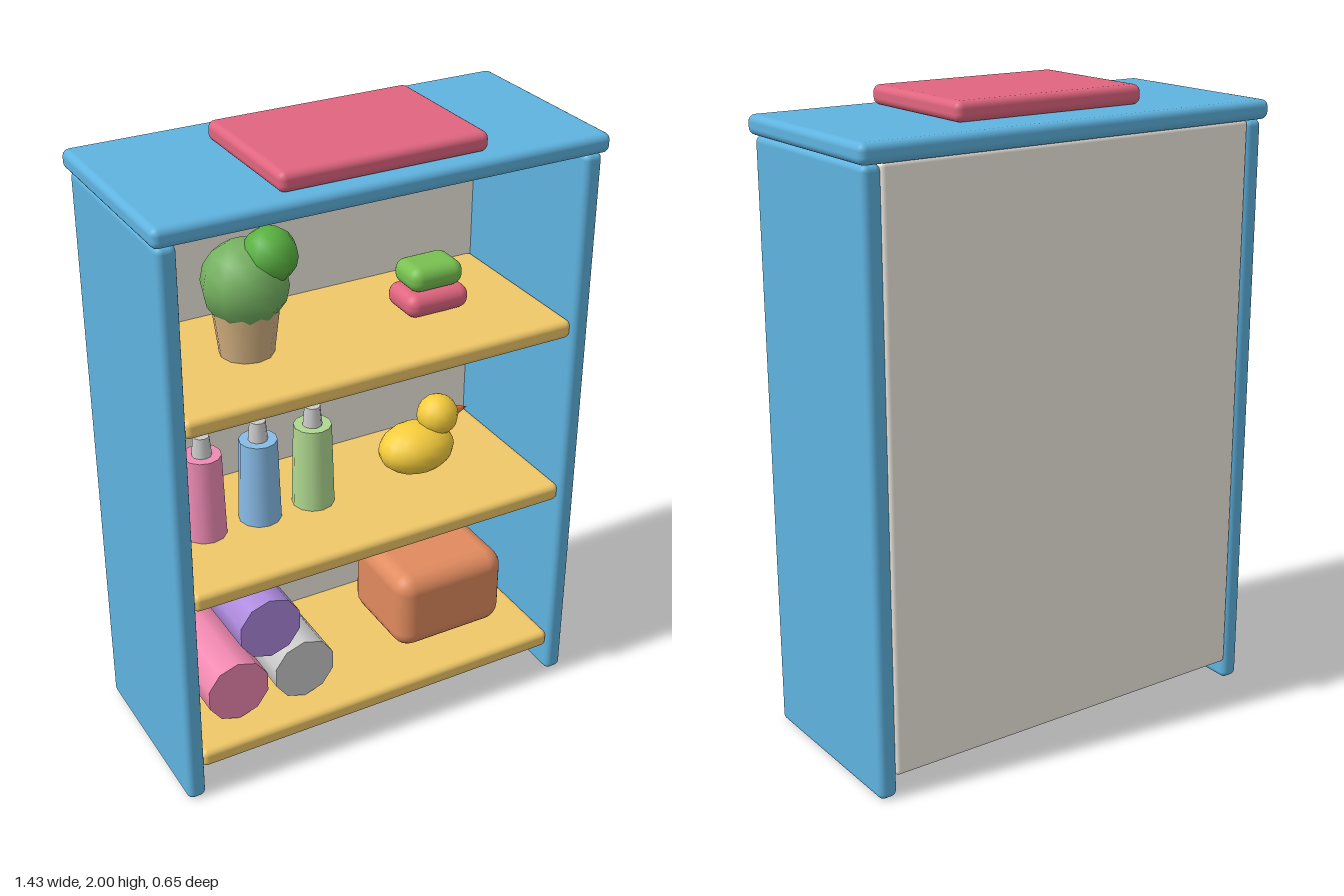
import * as THREE from 'three';
import { RoundedBoxGeometry } from 'three/addons/geometries/RoundedBoxGeometry.js';

const BLUE = 0x5fb3e0, WOOD = 0xf0c868, CREAM = 0xf5efe6, RED = 0xe0657f, GREY = 0xcccccc;

function add(parent, name, geometry, color, x, y, z) {
  const mesh = new THREE.Mesh(geometry, new THREE.MeshStandardMaterial({ color }));
  mesh.name = name;
  mesh.position.set(x, y, z);
  parent.add(mesh);
  return mesh;
}

// Rounded box given by its lowest and highest corners
function slab(parent, name, color, [x0, y0, z0], [x1, y1, z1], radius) {
  const geometry = new RoundedBoxGeometry(x1 - x0, y1 - y0, z1 - z0, 3, radius);
  return add(parent, name, geometry, color, (x0 + x1) / 2, (y0 + y1) / 2, (z0 + z1) / 2);
}

function subgroup(parent, name, x, y, z) {
  const group = new THREE.Group();
  group.name = name;
  group.position.set(x, y, z);
  parent.add(group);
  return group;
}

export function createModel() {
  const model = new THREE.Group();
  model.name = 'bathroomShelf';

  // Cabinet
  slab(model, 'leftSide', BLUE, [0.64, 0, -0.31], [0.70, 1.88, 0.31], 0.02);
  slab(model, 'rightSide', BLUE, [-0.70, 0, -0.31], [-0.64, 1.88, 0.31], 0.02);
  slab(model, 'top', BLUE, [-0.715, 1.88, -0.328], [0.715, 1.94, 0.325], 0.022);
  slab(model, 'backPanel', CREAM, [-0.645, 0.065, -0.31], [0.645, 1.885, -0.27], 0.015);
  const shelfTops = [0.16, 0.755, 1.345];
  for (const y of shelfTops) {
    slab(model, 'shelf', WOOD, [-0.643, y - 0.06, -0.28], [0.643, y, 0.30], 0.02);
  }
  slab(model, 'foldedMat', RED, [-0.327, 1.94, -0.19], [0.327, 2, 0.278], 0.022);

  // Bottom shelf: three stacked rolls and a basket
  const rolls = [[-0.468, 0.268, 0xf088b0], [-0.235, 0.268, GREY], [-0.352, 0.472, 0xae8ade]];
  for (const [x, y, color] of rolls) {
    const roll = add(model, 'towelRoll', new THREE.CylinderGeometry(0.107, 0.107, 0.4, 10), color, x, y, 0);
    roll.rotation.x = Math.PI / 2;
  }
  slab(model, 'basket', 0xe08a5e, [0.14, 0.16, -0.17], [0.545, 0.44, 0.17], 0.06);

  // Middle shelf: bottles
  [0xf08cb4, 0x88bce8, 0xb0d890].forEach((color, i) => {
    const bottle = subgroup(model, 'bottle', -0.47 + i * 0.1875, shelfTops[1], 0);
    add(bottle, 'bottleBody', new THREE.CylinderGeometry(0.06, 0.068, 0.28, 12), color, 0, 0.14, 0);
    add(bottle, 'bottleCap', new THREE.CylinderGeometry(0.025, 0.031, 0.065, 10), GREY, 0, 0.3125, 0);
  });

  // Middle shelf: toy duck
  const duck = subgroup(model, 'toyDuck', 0.283, 0.842, 0);
  const body = add(duck, 'duckBody', new THREE.SphereGeometry(1, 16, 12), 0xf5cc3c, 0, 0, 0);
  body.scale.set(0.13, 0.084, 0.1);
  add(duck, 'duckHead', new THREE.SphereGeometry(0.068, 14, 10), 0xf5cc3c, 0.077, 0.1, 0);
  const beak = add(duck, 'duckBeak', new THREE.ConeGeometry(0.026, 0.065, 8), 0xf08040, 0.156, 0.098, 0);
  beak.rotation.z = -Math.PI / 2;

  // Top shelf: potted plant
  const plant = subgroup(model, 'pottedPlant', -0.31, shelfTops[2], 0);
  add(plant, 'pot', new THREE.CylinderGeometry(0.102, 0.083, 0.155, 12), 0xd2b080, 0, 0.0775, 0);
  add(plant, 'foliage', new THREE.SphereGeometry(0.132, 10, 8), 0x74b060, 0, 0.222, 0);
  add(plant, 'foliageTuft', new THREE.SphereGeometry(0.084, 10, 8), 0x58b040, 0.062, 0.312, 0.04);

  // Top shelf: stacked soaps
  slab(model, 'lowerSoap', RED, [0.203, 1.345, -0.08], [0.418, 1.422, 0.08], 0.035);
  slab(model, 'upperSoap', 0x78c050, [0.218, 1.422, -0.07], [0.402, 1.504, 0.07], 0.037);

  return model;
}
